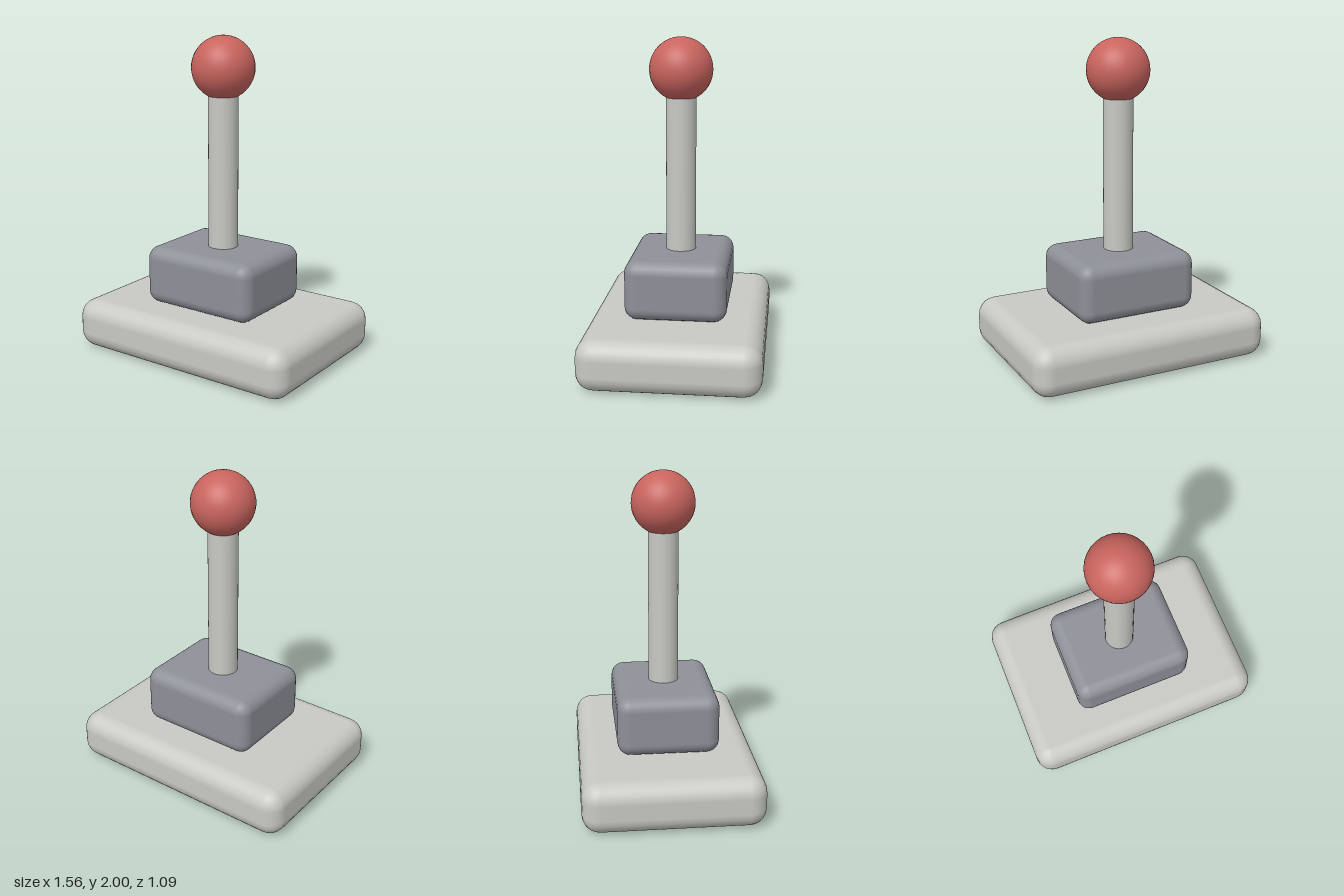
import * as THREE from 'three';
import { RoundedBoxGeometry } from 'three/addons/geometries/RoundedBoxGeometry.js';

export function createModel() {
  const model = new THREE.Group();
  model.name = 'joystick';

  const material = (name, color) => {
    const m = new THREE.MeshStandardMaterial({ color });
    m.name = name;
    return m;
  };
  const lightGrey = material('light grey', 0xc8c8c4);
  const slateGrey = material('slate grey', 0x8e9098);
  const red = material('red', 0xc9645e);

  const add = (name, geometry, mat, y) => {
    const mesh = new THREE.Mesh(geometry, mat);
    mesh.name = name;
    mesh.position.y = y;
    model.add(mesh);
  };

  // Wide slab and the smaller housing stacked on it
  add('base', new RoundedBoxGeometry(1.562, 0.315, 1.094, 3, 0.11), lightGrey, 0.1575);
  add('housing', new RoundedBoxGeometry(0.781, 0.37, 0.625, 3, 0.08), slateGrey, 0.5);

  // Upright shaft, sunk into the housing and the ball
  add('shaft', new THREE.CylinderGeometry(0.093, 0.093, 1.15, 32), lightGrey, 1.155);

  // Ball grip
  add('ballGrip', new THREE.SphereGeometry(0.195, 32, 24), red, 1.805);

  return model;
}
